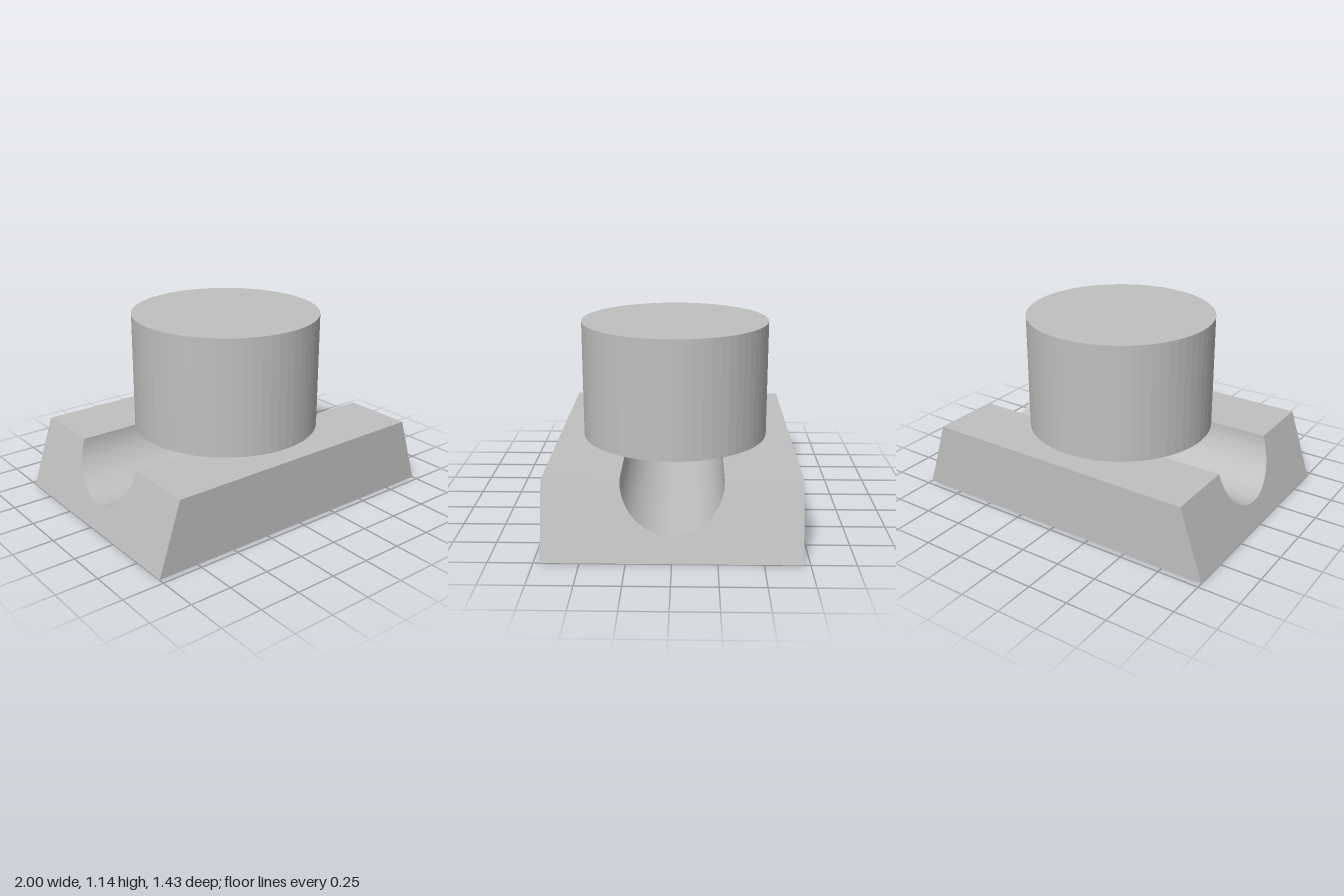
import * as THREE from 'three';

const U = 1 / 7; // design unit

export function createModel() {
  const group = new THREE.Group();
  const grey = new THREE.MeshStandardMaterial({ color: 0xc0c0c0, flatShading: true });
  grey.name = 'light grey';

  // Block profile (depth by height) with a half-round channel in the top
  const profile = new THREE.Shape();
  profile.moveTo(-5 * U, 0);
  profile.lineTo(5 * U, 0);
  profile.lineTo(5 * U, 3 * U);
  profile.lineTo(2 * U, 3 * U);
  profile.absarc(0, 3 * U, 2 * U, 0, -Math.PI, true);
  profile.lineTo(-5 * U, 3 * U);
  profile.closePath();

  const blockGeo = new THREE.ExtrudeGeometry(profile, { depth: 2, bevelEnabled: false, curveSegments: 32 });
  blockGeo.translate(0, 0, -1);
  blockGeo.rotateY(Math.PI / 2);

  // Slope both ends inward with height
  const pos = blockGeo.attributes.position;
  for (let i = 0; i < pos.count; i++) {
    pos.setX(i, Math.sign(pos.getX(i)) * (1 - pos.getY(i) / 3));
  }
  blockGeo.computeVertexNormals();
  const base = new THREE.Mesh(blockGeo, grey);
  base.name = 'channelledBase';
  group.add(base);

  // Solid round post bridging the channel
  const post = new THREE.Mesh(new THREE.CylinderGeometry(4 * U, 4 * U, 5 * U, 64), grey);
  post.name = 'post';
  post.position.y = 5.5 * U;
  group.add(post);

  return group;
}
